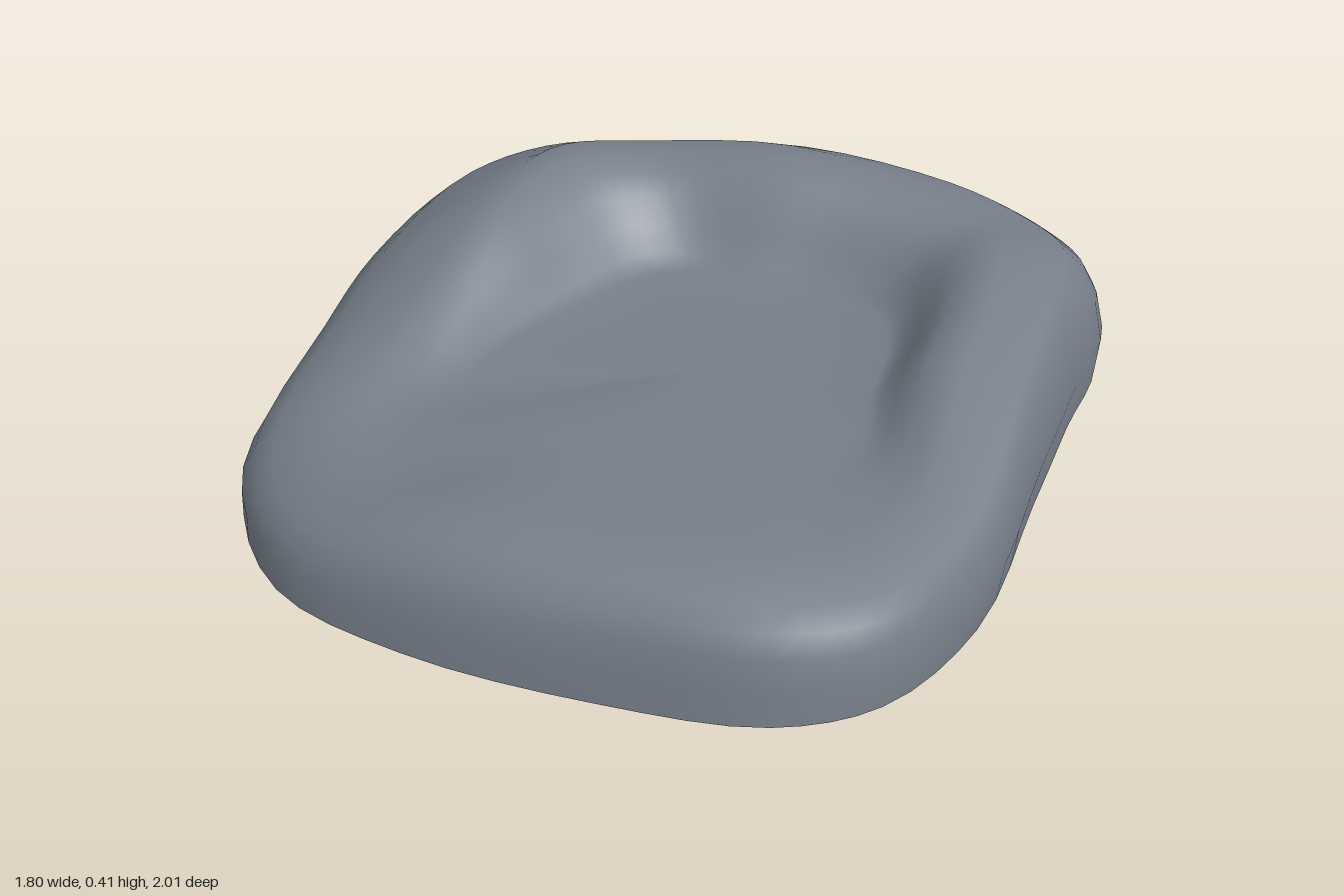
import * as THREE from 'three';

// Stations around the stone, from the front towards +x:
// outer wall x, z | rim crest x, z, y | hollow floor x, z, y
const STATIONS = [
  [0.23, 0.985, 0.15, 0.8, 0.25, 0.12, 0.45, 0.235],
  [0.58, 0.93, 0.45, 0.76, 0.25, 0.33, 0.4, 0.23],
  [0.77, 0.79, 0.62, 0.65, 0.24, 0.46, 0.32, 0.225],
  [0.885, 0.48, 0.72, 0.42, 0.25, 0.52, 0.22, 0.22],
  [0.89, 0, 0.7, 0, 0.335, 0.49, 0, 0.21],
  [0.89, -0.35, 0.69, -0.28, 0.365, 0.47, -0.19, 0.205],
  [0.89, -0.64, 0.66, -0.48, 0.37, 0.42, -0.32, 0.2],
  [0.76, -0.84, 0.58, -0.62, 0.352, 0.34, -0.39, 0.195],
  [0.54, -0.97, 0.38, -0.71, 0.375, 0.2, -0.41, 0.19],
  [0.1, -1, 0.05, -0.74, 0.41, 0.06, -0.41, 0.19],
  [-0.51, -0.97, -0.33, -0.68, 0.385, -0.08, -0.41, 0.19],
  [-0.71, -0.83, -0.5, -0.56, 0.4, -0.18, -0.36, 0.19],
  [-0.87, -0.6, -0.56, -0.39, 0.395, -0.25, -0.25, 0.19],
  [-0.9, -0.17, -0.58, -0.15, 0.37, -0.32, -0.08, 0.19],
  [-0.88, 0.12, -0.6, 0.12, 0.29, -0.38, 0.15, 0.2],
  [-0.81, 0.58, -0.61, 0.48, 0.185, -0.35, 0.34, 0.2],
  [-0.56, 0.88, -0.45, 0.73, 0.185, -0.2, 0.42, 0.225],
  [-0.21, 0.98, -0.17, 0.8, 0.235, -0.03, 0.45, 0.235],
];

// Outer wall: [blend from wall to crest, fraction of crest height]
const WALL = [[0, 0], [0, 0.3], [0.1, 0.57], [0.25, 0.76], [0.48, 0.91], [1, 1]];
const HOLLOW = [0.2, 0.4, 0.55, 0.7, 0.85, 1];
const CENTRE = new THREE.Vector3(0.1, 0.195, 0.02);

const closedCurve = (pick) =>
  new THREE.CatmullRomCurve3(STATIONS.map(pick), true, 'centripetal');

function stoneGeometry() {
  const outer = closedCurve((s) => new THREE.Vector3(s[0], 0, s[1]));
  const rim = closedCurve((s) => new THREE.Vector3(s[2], s[4], s[3]));
  const floor = closedCurve((s) => new THREE.Vector3(s[5], s[7], s[6]));
  const n = STATIONS.length * 4;
  const positions = [];
  const index = [];
  const ring = (at) => {
    for (let i = 0; i < n; i++) positions.push(...at(i / n).toArray());
  };

  // outer wall, steep on +x and sloping on -x and at the back
  WALL.forEach(([blend, height], k) => ring((t) => {
    const crest = rim.getPoint(t);
    const p = outer.getPoint(t);
    const lean = blend < 1 ? 1.05 - 0.45 * p.x - 0.2 * p.z + 0.25 * p.z * p.z : 1;
    p.lerp(crest, blend * lean);
    p.y = crest.y * height;
    if (k === 0) { p.x *= 0.99; p.z += 0.015; }
    return p;
  }));

  // broad rounded crest, then a steeper drop into the hollow
  for (const f of HOLLOW) ring((t) => {
    const crest = rim.getPoint(t);
    const bed = floor.getPoint(t);
    const p = crest.clone().lerp(bed, f);
    p.y = THREE.MathUtils.lerp(crest.y, bed.y, THREE.MathUtils.smoothstep(f ** 1.6, 0, 1));
    return p;
  });

  // gently dished floor
  for (const f of [0.35, 0.7]) ring((t) => floor.getPoint(t).lerp(CENTRE, f));

  const rings = positions.length / 3 / n;
  for (let r = 0; r < rings - 1; r++) {
    for (let i = 0; i < n; i++) {
      const a = r * n + i, b = r * n + ((i + 1) % n);
      index.push(a, b, b + n, a, b + n, a + n);
    }
  }
  const tip = rings * n;
  positions.push(...CENTRE.toArray());
  for (let i = 0; i < n; i++) {
    index.push(tip - n + i, tip - n + ((i + 1) % n), tip);
  }

  const geometry = new THREE.BufferGeometry();
  geometry.setAttribute('position', new THREE.Float32BufferAttribute(positions, 3));
  geometry.setIndex(index);
  geometry.computeVertexNormals();
  return geometry;
}

export function createModel() {
  const group = new THREE.Group();
  group.name = 'hollowedStone';
  // open underneath, so both sides are drawn
  const material = new THREE.MeshStandardMaterial({ color: 0x767e89, side: THREE.DoubleSide });
  const stone = new THREE.Mesh(stoneGeometry(), material);
  stone.name = 'stoneShell';
  group.add(stone);
  return group;
}
